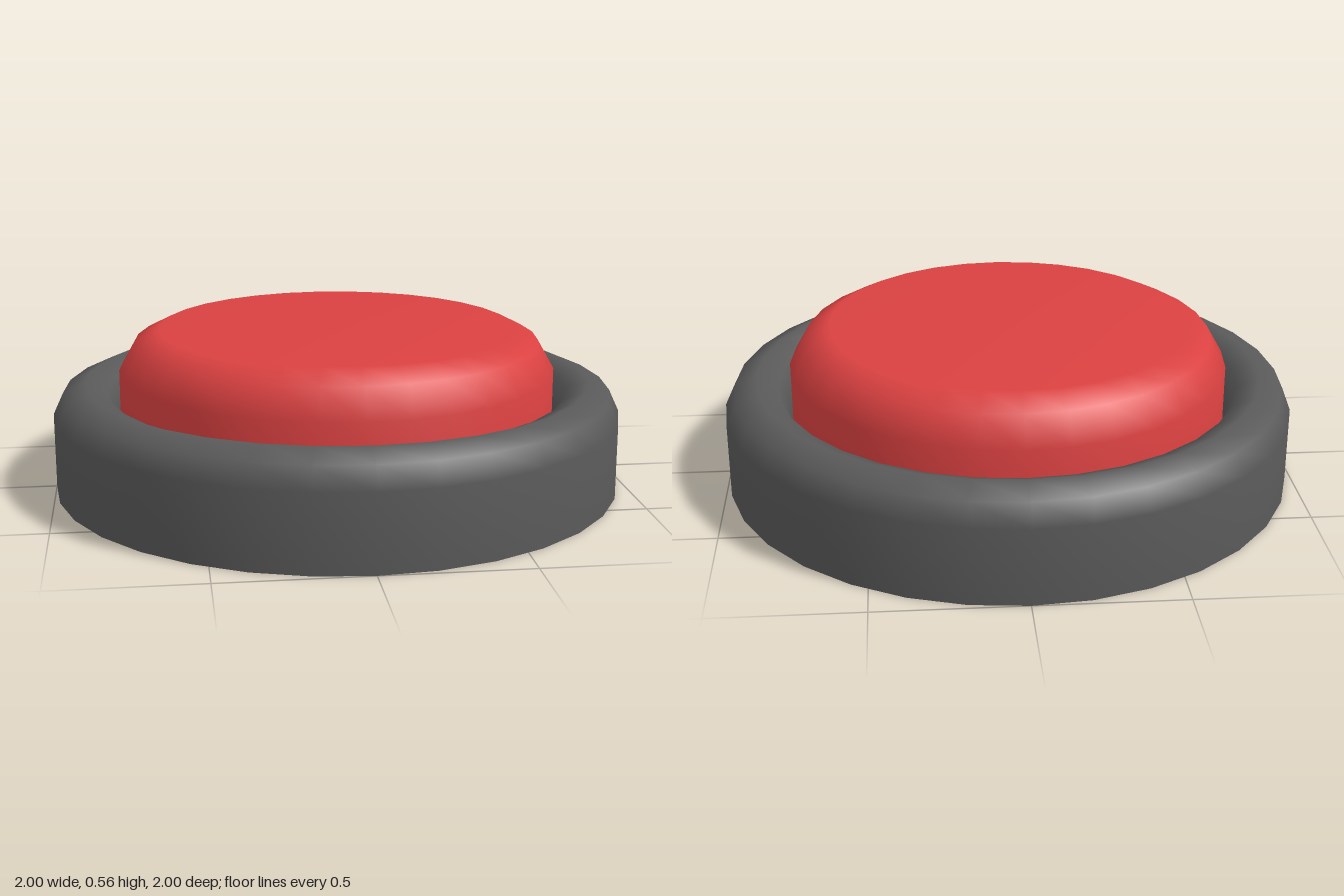
import * as THREE from 'three';

const SEGMENTS = 32;

// Revolve a [radius, height] profile around the y axis
function revolve(name, profile, material) {
  const points = profile.map(([r, y]) => new THREE.Vector2(r, y));
  const mesh = new THREE.Mesh(new THREE.LatheGeometry(points, SEGMENTS), material);
  mesh.name = name;
  return mesh;
}

export function createModel() {
  const model = new THREE.Group();
  model.name = 'pushButton';

  const darkGrey = new THREE.MeshStandardMaterial({ color: 0x5a5a5a, side: THREE.DoubleSide });
  darkGrey.name = 'darkGrey';
  const red = new THREE.MeshStandardMaterial({ color: 0xdb4141 });
  red.name = 'red';

  // Hollow housing: outer wall, bevelled rim, inner well wall
  model.add(revolve('housing', [
    [1, 0], [1, 0.265], [0.965, 0.34], [0.885, 0.375],
    [0.81, 0.342], [0.777, 0.265], [0.777, 0.165],
  ], darkGrey));

  // Floor of the well, facing down into the open underside
  const floor = new THREE.Mesh(new THREE.CircleGeometry(0.777, SEGMENTS), darkGrey);
  floor.name = 'wellFloor';
  floor.rotation.x = Math.PI / 2;
  floor.position.y = 0.165;
  model.add(floor);

  // Pressable cap with a bevelled edge and a flat top
  model.add(revolve('buttonCap', [
    [0.767, 0.17], [0.767, 0.415], [0.71, 0.515], [0.625, 0.558], [0, 0.558],
  ], red));

  return model;
}
